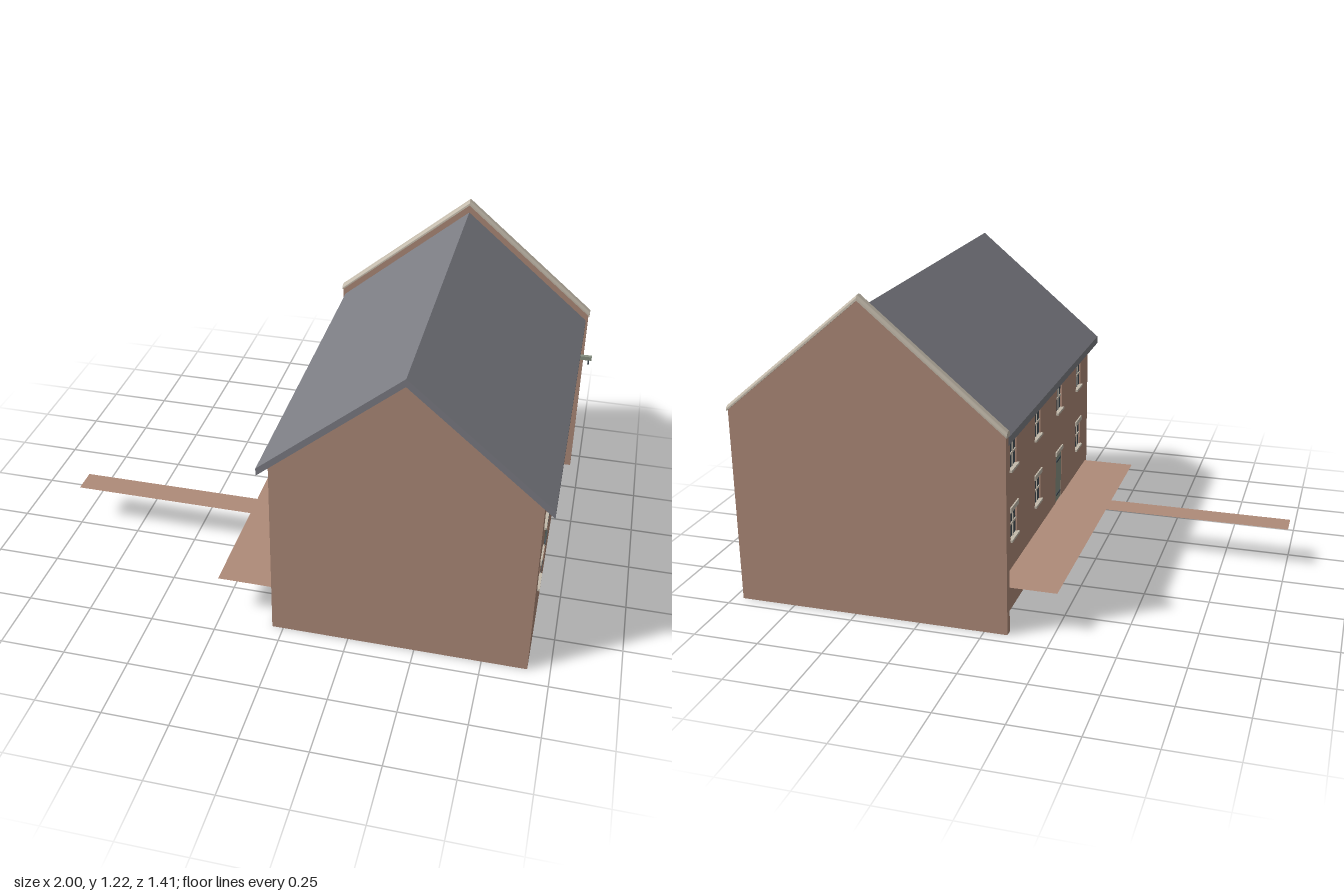
import * as THREE from 'three';
import { toCreasedNormals } from 'three/addons/utils/BufferGeometryUtils.js';

const material = (name, color, side = THREE.FrontSide) => {
  const m = new THREE.MeshStandardMaterial({ color, side });
  m.name = name;
  return m;
};

export function createModel() {
  const brick = material('brick', 0xaf8b79);
  const paving = material('paving', 0xaf8b79, THREE.DoubleSide);
  const slate = material('slate', 0x7c7d84);
  const stone = material('stone', 0xc3baab);
  const paint = material('green paint', 0x889283);
  const iron = material('dark iron and glass', 0x465057);

  const CX = 0.4375, HALF = 0.48, SLOPE = 0.8406, WALL = 0.022;
  const BACK = -0.67, FRONT = 0.68;
  const house = new THREE.Group();
  house.name = 'house';

  const add = (parent, name, geometry, mat, x = 0, y = 0, z = 0) => {
    const mesh = new THREE.Mesh(geometry, mat);
    mesh.name = name;
    mesh.position.set(x, y, z);
    parent.add(mesh);
    return mesh;
  };
  const box = (parent, name, mat, w, h, d, x, y, z) =>
    add(parent, name, new THREE.BoxGeometry(w, h, d), mat, x, y, z);
  const polygon = pts => new THREE.Shape(pts.map(p => new THREE.Vector2(...p)));
  const extrude = (shape, depth) =>
    new THREE.ExtrudeGeometry(shape, { depth, bevelEnabled: false, curveSegments: 16 });

  // Opening outline: rectangle, or a shallow arch when rise > 0
  const outline = (Type, { u, w, y0, y1, rise = 0 }) => {
    const s = new Type();
    s.moveTo(u - w / 2, y0);
    s.lineTo(u + w / 2, y0);
    s.lineTo(u + w / 2, y1);
    if (rise) s.quadraticCurveTo(u, y1 + 2 * rise, u - w / 2, y1);
    else s.lineTo(u - w / 2, y1);
    s.closePath();
    return s;
  };

  // Window: glass, crossed glazing bars, lintel and sill
  function addWindow(wall, o) {
    const g = new THREE.Group();
    g.name = 'window';
    g.position.set(o.u, (o.y0 + o.y1) / 2, 0);
    wall.add(g);
    const h = o.y1 - o.y0;
    box(g, 'glass', iron, o.w, h, 0.008, 0, 0, -0.011);
    for (const z of [-0.005, -0.017]) {
      box(g, 'glazingBar', stone, 0.005, h, 0.004, 0, 0, z);
      box(g, 'glazingBar', stone, o.w, 0.007, 0.004, 0, 0, z);
    }
    box(g, 'lintel', stone, 0.1, 0.019, 0.012, 0, h / 2 + 0.0095, 0);
    box(g, 'sill', stone, 0.095, 0.009, 0.016, 0, -h / 2 - 0.004, 0.001);
  }

  // Door: painted leaf, iron strap hinges, optional centre joint, lintel or sill
  function addDoor(wall, o) {
    const g = new THREE.Group();
    g.name = 'door';
    wall.add(g);
    add(g, 'leaf', extrude(outline(THREE.Shape, o), 0.018), paint, 0, 0, -0.02);
    for (const y of o.straps) {
      const offsets = o.single ? [0] : [-1, 1].map(s => s * (o.w - o.strap) / 2);
      for (const d of offsets)
        box(g, 'strapHinge', iron, o.strap, 0.009, 0.004, o.u + d, y, -0.001);
    }
    if (o.joint) box(g, 'centreJoint', iron, 0.005, o.y1 - o.y0, 0.004, o.u, (o.y0 + o.y1) / 2, -0.001);
    if (o.lintel) box(g, 'lintel', stone, o.w + 0.016, 0.017, 0.012, o.u, o.y1 + 0.0085, 0);
    if (o.sill) box(g, 'sill', stone, o.w + 0.016, 0.008, 0.016, o.u, o.y0 - 0.004, 0.001);
  }

  // Long wall with real openings, outer face at local z = 0
  function addFacade(name, side, windows, doors) {
    const wall = new THREE.Group();
    wall.name = name;
    wall.position.x = CX + side * HALF;
    wall.rotation.y = side * Math.PI / 2;
    house.add(wall);
    const u = z => -side * z;
    const wins = windows.map(([z, y0]) => ({ u: u(z), w: 0.082, y0, y1: y0 + 0.11 }));
    const drs = doors.map(d => ({ ...d, u: u(d.z) }));
    const [a, b] = [u(BACK), u(FRONT)].sort((p, q) => p - q);
    const shape = polygon([[a, 0], [b, 0], [b, 0.737], [a, 0.737]]);
    shape.holes = [...wins, ...drs].map(o => outline(THREE.Path, o));
    add(wall, 'brickwork', extrude(shape, WALL), brick, 0, 0, -WALL);
    wins.forEach(o => addWindow(wall, o));
    drs.forEach(o => addDoor(wall, o));
  }

  const LOW = 0.282, HIGH = 0.558;
  const smallDoor = { w: 0.09, y0: 0.165, y1: 0.374, straps: [0.195, 0.343], strap: 0.062, single: true, lintel: true };
  const archDoor = { w: 0.274, y0: 0.165, y1: 0.44, rise: 0.03, straps: [0.203, 0.304, 0.402], strap: 0.086 };
  const hatch = { z: -0.452, w: 0.108, y0: 0.52, y1: 0.645, straps: [0.545, 0.622], strap: 0.042, joint: true, sill: true };
  addFacade('rightFacade', 1,
    [0.518, 0.245, -0.03, -0.195].map(z => [z, HIGH]).concat([[0.518, LOW], [-0.03, LOW]]),
    [{ ...archDoor, z: 0.247 }, { ...archDoor, z: -0.452, joint: true }, { ...smallDoor, z: -0.195 }, hatch]);
  addFacade('leftFacade', -1,
    [-0.46, -0.135, 0.19, 0.51].map(z => [z, HIGH]).concat([-0.46, -0.135, 0.51].map(z => [z, LOW])),
    [{ ...smallDoor, z: 0.185 }]);

  // Gable ends: front wall, and the taller parapet wall at the back
  const gable = (half, ridge) => polygon([
    [CX - half, 0], [CX + half, 0], [CX + half, ridge - half * SLOPE],
    [CX, ridge], [CX - half, ridge - half * SLOPE]]);
  add(house, 'frontGable', extrude(gable(HALF - 0.0005, 1.14), WALL), brick, 0, 0, FRONT - WALL);
  add(house, 'backGableParapet', extrude(gable(0.526, 1.207), 0.03), brick, 0, 0, -0.7);

  // Pitched slate roof
  const EAVE = 0.5175, drop = EAVE * SLOPE;
  add(house, 'roof', extrude(polygon([
    [CX - EAVE, 1.17 - drop], [CX - EAVE, 1.14 - drop], [CX, 1.14],
    [CX + EAVE, 1.14 - drop], [CX + EAVE, 1.17 - drop], [CX, 1.17]]), 0.705 - BACK), slate, 0, 0, BACK);

  // Rounded stone coping, sheared to the roof pitch on each side
  for (const side of [-1, 1]) {
    const section = new THREE.Shape();
    section.moveTo(-0.02, 0);
    section.lineTo(0.02, 0);
    section.lineTo(0.02, 0.006);
    section.absellipse(0, 0.006, 0.02, 0.014, 0, Math.PI, false);
    section.closePath();
    let geo = extrude(section, 0.531);
    geo.rotateY(side * Math.PI / 2);
    const p = geo.attributes.position;
    for (let i = 0; i < p.count; i++) p.setY(i, p.getY(i) - Math.abs(p.getX(i)) * SLOPE);
    geo.computeVertexNormals();
    geo = toCreasedNormals(geo, 0.6);
    add(house, 'coping', geo, stone, CX, 1.202, -0.685);
  }

  // Hoist beam with its hook above the hatch
  const hoist = new THREE.Group();
  hoist.name = 'hoist';
  house.add(hoist);
  box(hoist, 'beam', paint, 0.09, 0.016, 0.016, 0.955, 0.678, -0.455);
  box(hoist, 'hook', iron, 0.006, 0.024, 0.006, 0.988, 0.66, -0.455);

  // Raised terrace and the footbridge leading to the left door
  const deck = polygon([
    [-0.043, -0.65], [-0.043, 0.65], [-0.26, 0.65], [-0.26, 0.23],
    [-1, 0.23], [-1, 0.13], [-0.26, 0.13], [-0.26, -0.65]]);
  const deckGeo = new THREE.ShapeGeometry(deck);
  deckGeo.scale(1, -1, 1);
  deckGeo.rotateX(-Math.PI / 2);
  // Mirroring reversed the faces, so restore their order
  deckGeo.index.array.reverse();
  deckGeo.computeVertexNormals();
  add(house, 'terrace', deckGeo, paving, 0, 0.165, 0);

  return house;
}
